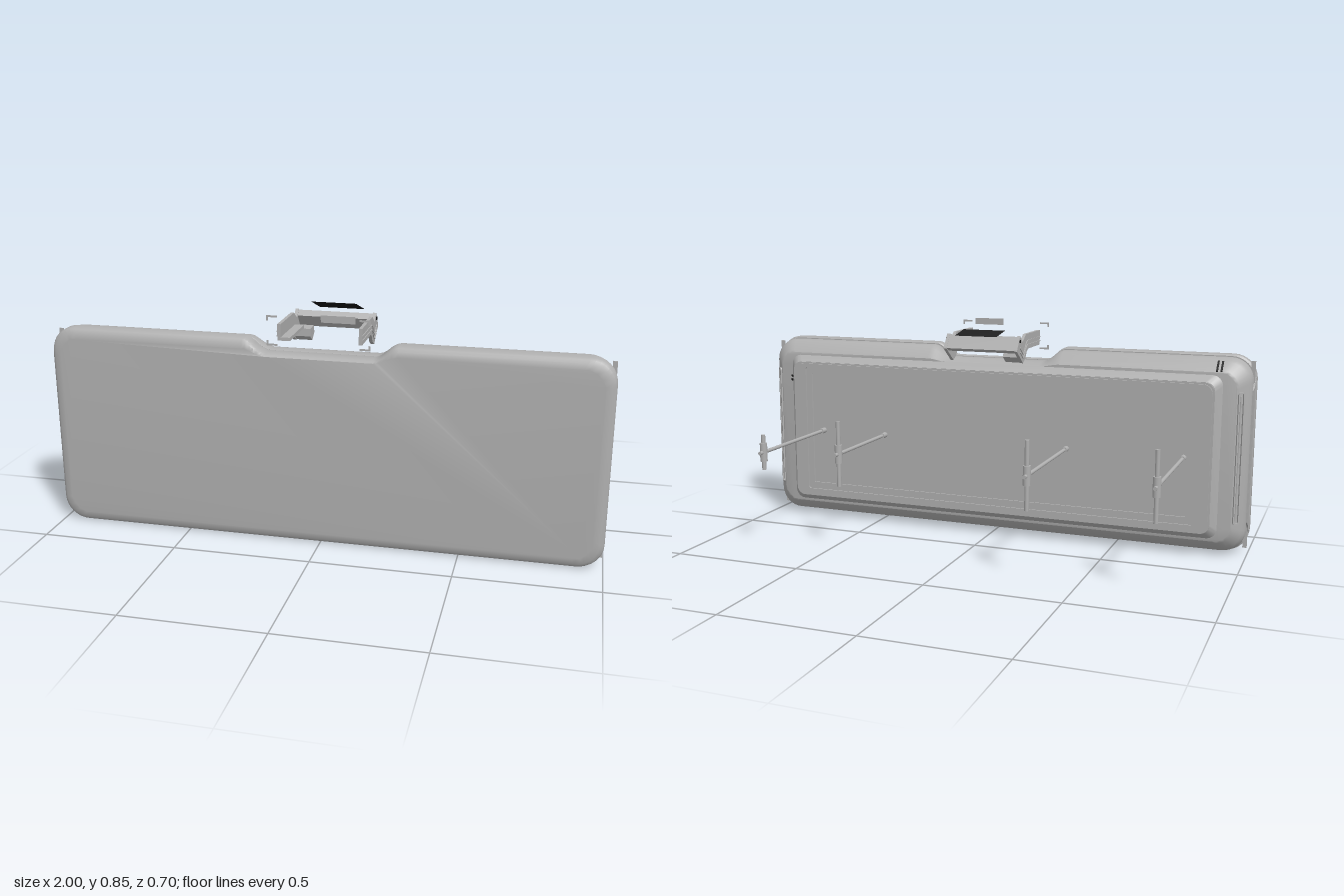
import * as THREE from 'three';
import { toCreasedNormals } from 'three/addons/utils/BufferGeometryUtils.js';

const grey = new THREE.MeshStandardMaterial({ color: 0xb0b0b0 });
grey.name = 'metal grey';
const greySheet = new THREE.MeshStandardMaterial({ color: 0xb0b0b0, side: THREE.DoubleSide });
greySheet.name = 'thin metal grey';
const black = new THREE.MeshStandardMaterial({ color: 0x101010, side: THREE.DoubleSide });
black.name = 'black';

// Rounded rectangle outline, counter-clockwise; notch adds a dip in the top edge
function outline(hw, y0, y1, r, notchY) {
  const pts = [];
  const arc = (cx, cy, start) => {
    for (let i = 0; i <= 8; i++) {
      const a = start + (i / 8) * Math.PI / 2;
      pts.push(new THREE.Vector2(cx + r * Math.cos(a), cy + r * Math.sin(a)));
    }
  };
  arc(hw - r, y0 + r, -Math.PI / 2);
  arc(hw - r, y1 - r, 0);
  if (notchY !== undefined) {
    for (const s of [1, -1]) {
      for (let i = 0; i <= 8; i++) {
        const t = s > 0 ? i / 8 : 1 - i / 8;
        const drop = (1 - Math.cos(Math.PI * t)) / 2;
        pts.push(new THREE.Vector2(s * (0.275 - 0.085 * t), y1 - (y1 - notchY) * drop));
      }
    }
  }
  arc(-hw + r, y1 - r, Math.PI / 2);
  arc(-hw + r, y0 + r, Math.PI);
  return pts;
}

// Solid skinned over loops of equal length, ordered by rising z
function loft(levels) {
  const n = levels[0].pts.length, pos = [], idx = [];
  for (const { z, pts } of levels) for (const p of pts) pos.push(p.x, p.y, z);
  for (let k = 0; k < levels.length - 1; k++) {
    for (let i = 0; i < n; i++) {
      const a = k * n + i, b = k * n + (i + 1) % n;
      idx.push(a, b, b + n, a, b + n, a + n);
    }
  }
  const top = (levels.length - 1) * n;
  for (const [a, b, c] of THREE.ShapeUtils.triangulateShape(levels[0].pts, [])) idx.push(c, b, a);
  for (const [a, b, c] of THREE.ShapeUtils.triangulateShape(levels.at(-1).pts, [])) idx.push(top + a, top + b, top + c);
  const g = new THREE.BufferGeometry();
  g.setAttribute('position', new THREE.Float32BufferAttribute(pos, 3));
  g.setIndex(idx);
  return toCreasedNormals(g, 0.6);
}

// Shell loft from [z, inset] pairs
const shell = (pairs) => loft(pairs.map(([z, d]) => ({
  z, pts: outline(1 - d, d, 0.75 - d, 0.09 - d * 0.5, 0.7 - d * 0.3),
})));

// Profile of [z, y] points extruded across x
function sideProfile(points, x0, x1) {
  const s = new THREE.Shape(points.map(([z, y]) => new THREE.Vector2(-z, y)));
  const g = new THREE.ExtrudeGeometry(s, { depth: x1 - x0, bevelEnabled: false });
  return g.rotateY(Math.PI / 2).translate(x0, 0, 0);
}

// Band of given width following a [z, y] path
function band(path, w, x0, x1) {
  const side = (s) => path.map(([z, y], i) => {
    const [za, ya] = path[Math.max(i - 1, 0)], [zb, yb] = path[Math.min(i + 1, path.length - 1)];
    const l = Math.hypot(zb - za, yb - ya);
    return [z - s * w / 2 * (yb - ya) / l, y + s * w / 2 * (zb - za) / l];
  });
  return sideProfile([...side(1), ...side(-1).reverse()], x0, x1);
}

function ring(outer, inner, z0, z1) {
  const s = new THREE.Shape(outer);
  s.holes.push(new THREE.Path(inner));
  return new THREE.ExtrudeGeometry(s, { depth: z1 - z0, bevelEnabled: false }).translate(0, 0, z0);
}

export function createModel() {
  const model = new THREE.Group();
  const add = (name, geometry, material = grey, parent = model) => {
    const m = new THREE.Mesh(geometry, material);
    m.name = name;
    parent.add(m);
    return m;
  };
  const box = (name, w, h, d, x, y, z, material, parent) =>
    add(name, new THREE.BoxGeometry(w, h, d).translate(x, y, z), material, parent);

  // Body shells
  add('frontShell', shell([[0.289, 0.006], [0.294, 0], [0.325, 0], [0.338, 0.005], [0.346, 0.016], [0.35, 0.035]]));
  add('seam', shell([[0.278, 0.016], [0.291, 0.016]]));
  add('backShell', shell([[0.19, 0.056], [0.195, 0.049], [0.225, 0.02], [0.238, 0.012], [0.255, 0.008], [0.277, 0.008], [0.281, 0.012]]));

  // Stepped seam and slot frame on both ends
  for (const s of [1, -1]) {
    const x = (a, b) => (s > 0 ? [a, b] : [-b, -a]);
    add('endOverlap', sideProfile([[0.292, 0.08], [0.292, 0.67], [0.28, 0.655], [0.262, 0.63], [0.262, 0.12], [0.28, 0.095]], ...x(0.98, 0.998)));
    add('endTrim', band([[0.278, 0.02], [0.278, 0.1], [0.254, 0.125], [0.254, 0.625], [0.278, 0.65], [0.278, 0.73]], 0.005, ...x(0.98, 0.996)));
    const slot = add('endSlotFrame', ring(outline(0.014, -0.25, 0.25, 0.012), outline(0.008, -0.244, 0.244, 0.007), 0, 0.008));
    slot.position.set(s * 0.957, 0.375, 0.204);
    slot.rotation.y = s > 0 ? Math.PI - 0.75 : Math.PI + 0.75;
    add('endRod', new THREE.CylinderGeometry(0.004, 0.004, 0.47, 10).translate(s * 0.958, 0.375, 0.2));
  }

  // Back panel with a stepped recess
  const panel = (d, r) => outline(0.895 - d, 0.065 + d, 0.685 - d, r);
  add('backPanel', loft([{ z: 0.162, pts: panel(0.025, 0.035) }, { z: 0.192, pts: panel(0, 0.04) }]));
  add('innerFrame', ring(panel(0.026, 0.035), outline(0.785, 0.15, 0.615, 0.004), 0.156, 0.163));
  add('outerFrame', ring(panel(0.032, 0.035), outline(0.81, 0.122, 0.64, 0.01), 0.15, 0.157));

  // Paired black marks
  for (const i of [0, 1]) {
    const side = box('sideMark', 0.004, 0.007, 0.028, 0, 0, 0, black);
    side.position.set(0.882, 0.581 + i * 0.016, 0.165);
    side.rotation.y = 0.7;
    const top = box('topMark', 0.007, 0.004, 0.05, 0, 0, 0, black);
    top.position.set(-0.885 + i * 0.016, 0.714, 0.208);
    top.rotation.x = -0.76;
  }

  // Rods with clamped cross bars
  for (const [x, tip, cross, half] of [[-0.765, -0.35, -0.32, 0.125], [-0.315, -0.35, -0.32, 0.125],
    [0.455, -0.272, -0.24, 0.125], [0.735, -0.34, -0.312, 0.067]]) {
    const rod = new THREE.Group();
    rod.name = 'rod';
    rod.position.set(x, 0.375, 0);
    model.add(rod);
    const tube = (name, r, len, z, along) => {
      const g = new THREE.CylinderGeometry(r, r, len, 16);
      if (along) g.rotateX(Math.PI / 2);
      add(name, g.translate(0, 0, z), grey, rod);
    };
    tube('rodShaft', 0.007, 0.16 - tip, (0.16 + tip) / 2, true);
    tube('rodBase', 0.011, 0.03, 0.147, true);
    tube('crossBar', 0.008, half * 2, cross, false);
    tube('crossCollar', 0.014, 0.07, cross, false);
  }

  // Handle: bent side arms, head bar and latch block
  const handle = new THREE.Group();
  handle.name = 'handle';
  model.add(handle);
  const arm = [[0.346, 0.75], [0.2, 0.75], [0.183, 0.741], [0.166, 0.716], [0.137, 0.7], [0.065, 0.752],
    [0.068, 0.758], [0.103, 0.807], [0.13, 0.782], [0.155, 0.797], [0.17, 0.808], [0.346, 0.808]];
  const rib = [[0.346, 0.782], [0.188, 0.782], [0.172, 0.774], [0.15, 0.744], [0.135, 0.736], [0.1, 0.762]];
  const lowRib = rib.map(([z, y]) => [z, y - 0.016]);
  for (const [x, s] of [[0.147, 1], [-0.139, -1]]) {
    add('handleArm', sideProfile(arm, x - 0.006, x + 0.006), grey, handle);
    const out = x + s * 0.007;
    for (const path of [rib, lowRib]) add('armRib', band(path, 0.004, out - 0.002, out + 0.002), grey, handle);
    box('armScrew', 0.003, 0.01, 0.01, x + s * 0.007, 0.787, 0.101, black, handle);
  }
  add('innerRail', sideProfile([[0.346, 0.75], [0.16, 0.75], [0.16, 0.762], [0.346, 0.762]], -0.135, -0.1), grey, handle);
  add('headBar', sideProfile([[0.12, 0.786], [0.103, 0.804], [0.067, 0.754], [0.088, 0.742]], -0.145, 0.153), grey, handle);
  add('latchBlock', sideProfile([[0.165, 0.75], [0.165, 0.722], [0.137, 0.702], [0.105, 0.725], [0.115, 0.752]], -0.135, -0.075), grey, handle);

  // Slanted black plate hovering over the head bar
  const plate = new THREE.Shape([[-0.1, -0.016], [0.068, -0.016], [0.095, 0.016], [-0.072, 0.016]].map((p) => new THREE.Vector2(...p)));
  const badge = add('slantedPlate', new THREE.ShapeGeometry(plate), black, handle);
  badge.position.set(0, 0.817, 0.06);
  badge.rotation.x = Math.PI + 0.75;
  badge.rotation.z = Math.PI;

  // Flat guide sheets level with the front
  const sheet = (name, w, h, x, y) => add(name, new THREE.PlaneGeometry(w, h).translate(x, y, 0.349), greySheet, handle);
  sheet('guideBar', 0.12, 0.025, 0.07, 0.835);
  for (const s of [1, -1]) {
    for (const [y, d] of [[0.835, -1], [0.735, 1]]) {
      sheet('guideCorner', 0.038, 0.007, s * 0.163, y);
      sheet('guideCorner', 0.007, 0.018, s * 0.179, y + d * 0.006);
    }
  }
  return model;
}
